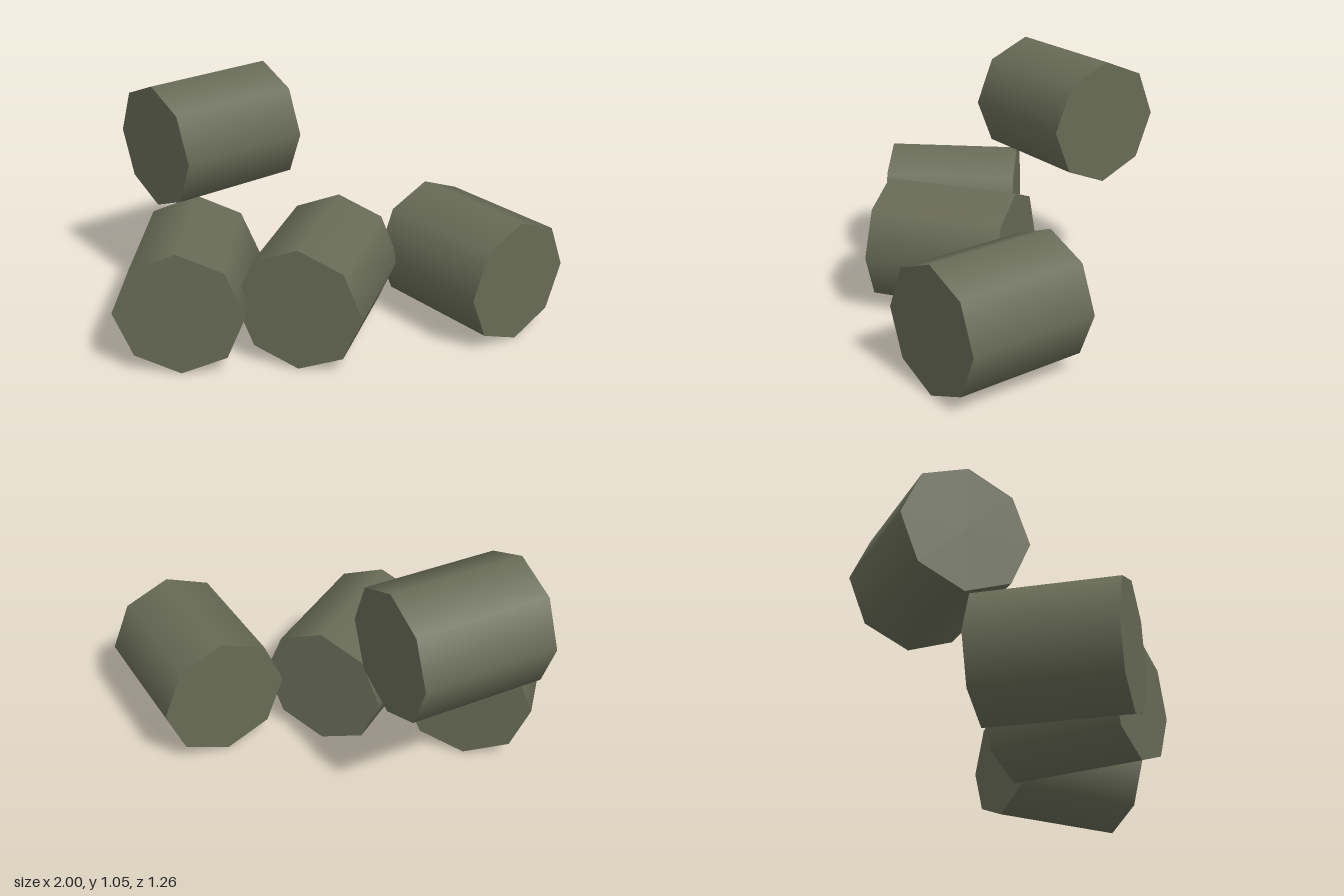
import * as THREE from 'three';

const RADIUS = 0.278;
const LENGTH = 0.592;

export function createModel() {
  const group = new THREE.Group();
  group.name = 'barrelPile';

  const olive = new THREE.MeshStandardMaterial({ color: 0x686b56 });
  olive.name = 'olive drab';

  // Eight-sided drum with smooth sides, lying along z with a corner up
  const drum = new THREE.CylinderGeometry(RADIUS, RADIUS, LENGTH, 8);
  drum.rotateX(Math.PI / 2);

  // name, x, y, z, heading of the drum's axis in degrees
  const barrels = [
    ['middleBarrel', -0.01, RADIUS, 0.13, -3.6],
    ['rightBarrel', -0.55, RADIUS, 0.284, 10.5],
    ['leftBarrel', 0.595, RADIUS, -0.225, 53.4],
    ['stackedBarrel', -0.6, 0.775, -0.23, -38.4],
  ];
  for (const [name, x, y, z, heading] of barrels) {
    const barrel = new THREE.Mesh(drum, olive);
    barrel.name = name;
    barrel.position.set(x, y, z);
    barrel.rotation.y = THREE.MathUtils.degToRad(heading);
    group.add(barrel);
  }
  return group;
}
